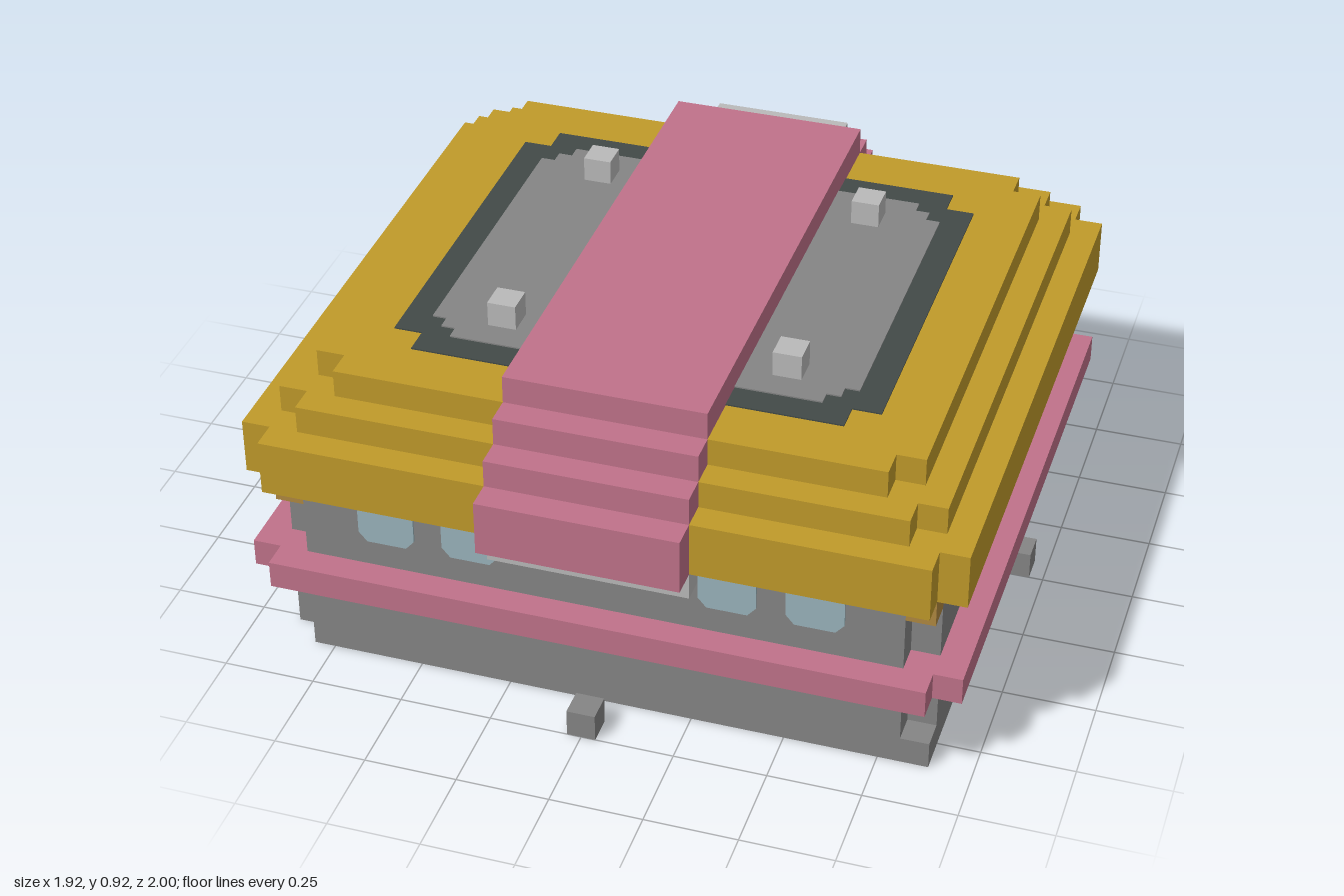
import * as THREE from 'three';

const U = 1 / 13; // one block
const mat = (name, color) => Object.assign(new THREE.MeshStandardMaterial({ color }), { name });

export function createModel() {
  const gold = mat('roof gold', 0xc09a2a), pink = mat('rose', 0xc0728a), gray = mat('stone gray', 0x858585);
  const light = mat('light gray', 0xbababa), dark = mat('slate', 0x424a48), glass = mat('window blue', 0x9ab4bc);
  const orange = mat('door orange', 0xc47a40), tan = mat('bracket tan', 0xb08840), border = mat('floor border', 0x988678);
  const model = new THREE.Group();

  const add = (name, geometry, material) => {
    geometry.scale(U, U, U);
    const mesh = new THREE.Mesh(geometry, material);
    mesh.name = name;
    model.add(mesh);
    return mesh;
  };

  // Box given by its limits in blocks
  const box = (name, m, x0, x1, y0, y1, z0, z1) => add(name,
    new THREE.BoxGeometry(x1 - x0, y1 - y0, z1 - z0)
      .translate((x0 + x1) / 2, (y0 + y1) / 2, (z0 + z1) / 2), m);

  // Rectangle in plan with square corner notches, centred on z = 0.5;
  // gap cuts a one-block doorway into the back edge
  const outline = (hx, hz, steps = 1, gap = 0, cut = 1) => {
    const quarter = [];
    for (let i = 0; i <= steps; i++) {
      quarter.push([hx - i * cut, hz - (steps - i) * cut]);
      if (i < steps) quarter.push([hx - (i + 1) * cut, hz - (steps - i) * cut]);
    }
    const flip = (list, sx, sz) => list.map(([x, z]) => [x * sx, z * sz]);
    const back = [...quarter].reverse();
    const door = gap ? [[-gap, -hz], [-gap, 1 - hz], [gap, 1 - hz], [gap, -hz]] : [];
    const pts = [...quarter, ...flip(back, -1, 1), ...flip(quarter, -1, -1), ...door, ...flip(back, 1, -1)];
    return pts.map(([x, z]) => new THREE.Vector2(x, z + 0.5));
  };
  const slab = (name, m, y0, y1, pts, hole) => {
    const shape = new THREE.Shape(pts);
    if (hole) shape.holes.push(new THREE.Path(hole));
    const g = new THREE.ExtrudeGeometry(shape, { depth: y1 - y0, bevelEnabled: false });
    return add(name, g.rotateX(Math.PI / 2).translate(0, y1, 0), m);
  };

  // Walls on a hollow base rim
  slab('baseRim', gray, 0, 1, outline(11.5, 10.5), outline(10.5, 9.5));
  slab('walls', gray, 1, 7, outline(11.5, 10.5));
  box('cornerStone', gray, 10.5, 11.5, 0, 1, 10, 11);
  slab('wallBand', pink, 3, 4, outline(12.5, 11.5, 1, 2.5));

  // Carpet pattern on the underside of the floor
  slab('floorBorder', border, 0.93, 1, outline(8, 7, 2));
  slab('floorCarpet', pink, 0.88, 0.95, outline(7, 6, 2));
  box('floorRunner', pink, -10.5, -7.5, 0.93, 1, -3.5, 1.5);
  for (const x of [-5, 5]) for (const z of [-3.5, 4.5])
    box('floorDisc', light, x - 0.4, x + 0.4, 0.84, 0.9, z - 0.4, z + 0.4);

  // Stepped roof
  slab('roofEave', gold, 7, 9, outline(12.5, 11.5));
  slab('roofMiddle', gold, 9, 10, outline(11.5, 10.5));
  slab('roofTop', gold, 10, 11, outline(10.5, 9.5));
  slab('roofPanelEdge', dark, 11, 11.05, outline(8.5, 7.5));
  slab('roofPanel', gray, 11, 11.1, outline(7.5, 6.5, 2, 0, 0.5));
  for (const x of [-5, 5]) for (const z of [-4.5, 5.5])
    box('roofPost', light, x - 0.5, x + 0.5, 11, 12, z - 0.5, z + 0.5);
  for (const x of [-11, 11]) for (const z of [-9.5, 10.5])
    box('eaveBracket', tan, x - 0.5, x + 0.5, 6, 7, z - 0.5, z + 0.5);

  // Rose strip stepping over the roof, front to back
  [[7, 9, 12.5], [9, 10, 11.5], [10, 11, 10.5], [11, 12, 9.5]].forEach(([y0, y1, h]) =>
    box('roofStrip', pink, -3.5, 3.5, y0, y1, 0.5 - h, 0.5 + h));
  box('frontLintel', light, -3.5, 3.5, 6, 7, 11, 12);
  box('backLintel', light, -3.5, 3.5, 6, 7, -11, -10);

  // Ornament above the back door
  box('ornamentBar', light, -2.5, 2.5, 10, 11, -11, -10);
  for (const x of [-2, 0, 2]) {
    box('ornamentTooth', light, x - 0.5, x + 0.5, 9, 10, -12, -11);
    box('ornamentDrop', light, x - 0.5, x + 0.5, x ? 8 : 8.5, 9, -12.06, -12);
  }

  // Windows with clipped lower corners, two pairs on each side
  const pane = new THREE.Shape([[-1, 2], [-1, 0.35], [-0.7, 0], [0.7, 0], [1, 0.35], [1, 2]]
    .map(([x, y]) => new THREE.Vector2(x, y)));
  const windowAt = (x, z, turn) => add('window',
    new THREE.ExtrudeGeometry(pane, { depth: 0.08, bevelEnabled: false })
      .rotateY(turn).translate(x, 5, z), glass);
  for (const x of [-7.5, -4.5, 4.5, 7.5]) {
    windowAt(x, 11, 0);
    windowAt(x, -10, Math.PI);
  }
  for (const z of [-6, -3, 4, 7]) {
    windowAt(11.5, z, Math.PI / 2);
    windowAt(-11.5, z, -Math.PI / 2);
  }

  // Back door, steps and row of pillars
  for (const x of [-1, 1]) box('doorPost', orange, x - 0.5, x + 0.5, 2, 6, -11, -10);
  box('doorPanel', orange, -0.5, 0.5, 2, 6, -10.1, -10);
  box('lowerStep', gray, -2.5, 1.5, 0, 1, -13, -12);
  box('upperStep', gray, -1.5, 1.5, 0, 2, -12, -10);
  for (const x of [-8, -5, -2, 2, 5, 8]) {
    box('pillar', gray, x - 0.5, x + 0.5, 0, 4, -12, -11);
    box('pillarFoot', gray, x - 0.5, x + 0.5, 0, 3, -11, -10);
  }

  // Small blocks at the foot of the other three sides
  box('frontBollard', gray, -0.5, 0.5, 0, 1, 12, 13);
  for (const x of [-12, 12]) box('sideBollard', gray, x - 0.5, x + 0.5, 0, 1, -1, 0);

  return model;
}
